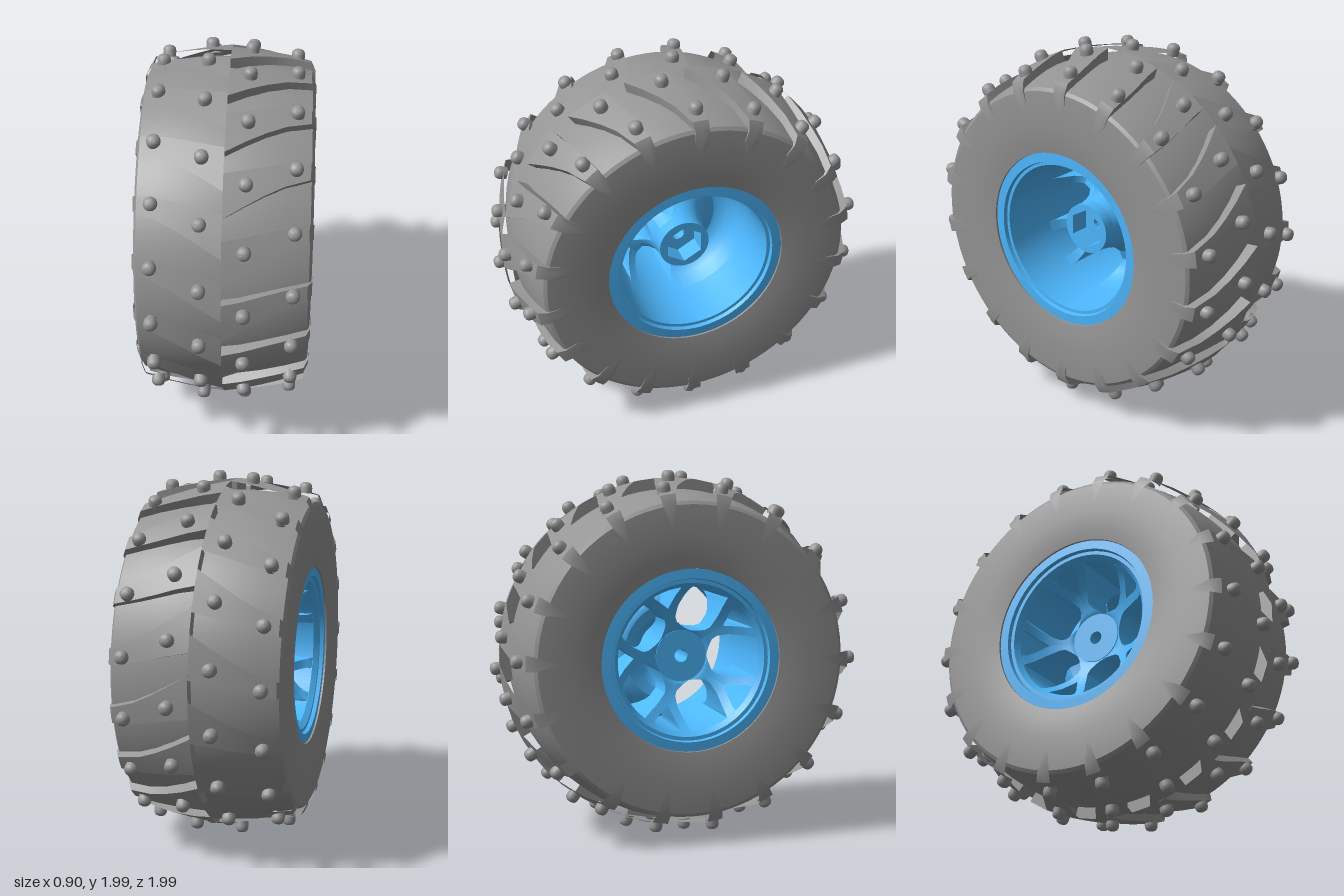
import * as THREE from 'three';
import { toCreasedNormals } from 'three/addons/utils/BufferGeometryUtils.js';

const RAD = Math.PI / 180;
const rubber = new THREE.MeshStandardMaterial({ color: 0x959595 });
const thinRubber = new THREE.MeshStandardMaterial({ color: 0x959595, side: THREE.DoubleSide });
const blue = new THREE.MeshStandardMaterial({ color: 0x4db8ff });
const thinBlue = new THREE.MeshStandardMaterial({ color: 0x4db8ff, side: THREE.DoubleSide });

// Point around the axle (x axis): angle 0 is +z, 90 degrees is +y
const polar = (x, r, deg) => new THREE.Vector3(x, r * Math.sin(deg * RAD), r * Math.cos(deg * RAD));

function mesh(name, geometry, material, parent) {
  const m = new THREE.Mesh(geometry, material);
  m.name = name;
  parent.add(m);
  return m;
}

// Revolves [radius, x] points around the axle
function revolve(points, segments = 96, start = 0, length = Math.PI * 2) {
  const g = new THREE.LatheGeometry(points.map(([r, x]) => new THREE.Vector2(r, x)), segments, start, length);
  return toCreasedNormals(g.rotateZ(-Math.PI / 2), 0.5);
}

// Joins cross-sections; closed loops also get end caps
function loft(sections, closed = true) {
  const pos = [];
  const n = sections[0].length;
  const tri = (...pts) => pts.forEach((p) => pos.push(p.x, p.y, p.z));
  for (let i = 0; i < sections.length - 1; i++) {
    for (let k = 0; k < (closed ? n : n - 1); k++) {
      const a = sections[i][k], b = sections[i][(k + 1) % n];
      const c = sections[i + 1][(k + 1) % n], d = sections[i + 1][k];
      tri(a, b, c);
      tri(a, c, d);
    }
  }
  if (closed) {
    const first = sections[0], last = sections[sections.length - 1];
    for (let k = 1; k < n - 1; k++) {
      tri(first[0], first[k + 1], first[k]);
      tri(last[0], last[k], last[k + 1]);
    }
  }
  const g = new THREE.BufferGeometry();
  g.setAttribute('position', new THREE.Float32BufferAttribute(pos, 3));
  g.computeVertexNormals();
  return toCreasedNormals(g, 0.5);
}

// Tread lug stations: x, top radius, base radius, lower and upper angle
const LUG = [
  [0.0, 0.957, 0.86, -5.5, 8],
  [0.1, 0.946, 0.86, -1.8, 9.2],
  [0.2, 0.93, 0.85, 1.8, 10.8],
  [0.3, 0.912, 0.83, 5.0, 12.2],
  [0.425, 0.88, 0.79, 7.8, 13.4],
  [0.448, 0.83, 0.76, 8.4, 13.4],
  [0.45, 0.71, 0.69, 10.6, 11.2],
];

function addTyre(group) {
  // Carcass with sharp shoulders and a straight bead at the rim
  const half = [[0.487, 0.34], [0.487, 0.43], [0.55, 0.44], [0.64, 0.446], [0.76, 0.446],
    [0.82, 0.442], [0.838, 0.43], [0.866, 0.32], [0.885, 0.2], [0.895, 0.08]];
  const outer = half.map(([r, x]) => [r, -x]);
  const profile = [...outer, ...half.slice().reverse(), outer[0]];
  mesh('tyreCarcass', revolve(profile), rubber, group);

  // Solid lugs on one half, thin raised tread strips on the other
  const solid = loft(LUG.map(([x, top, base, lo, hi]) =>
    [polar(x, base, hi), polar(x, top, hi), polar(x, top, (lo + hi) / 2), polar(x, top, lo), polar(x, base, lo)]));
  const strip = loft(LUG.map(([x, top, , lo, hi]) =>
    [0, 0.5, 1].map((t) => polar(-x, top, lo + (hi - lo) * t))), false);

  // Short studs with a rounded crown
  const stud = toCreasedNormals(new THREE.LatheGeometry(
    [[0.034, -0.01], [0.036, 0.02], [0.034, 0.036], [0.027, 0.047], [0.015, 0.053], [0, 0.055]]
      .map(([x, y]) => new THREE.Vector2(x, y)), 16), 0.9);

  for (let i = 0; i < 18; i++) {
    for (const side of [1, -1]) {
      const turn = i * 20 + (side < 0 ? 8 : 0);
      const lug = mesh(side > 0 ? 'treadLug' : 'treadStrip', side > 0 ? solid : strip,
        side > 0 ? rubber : thinRubber, group);
      lug.rotation.x = -turn * RAD;
      for (const [x, r, deg] of [[0.11, 0.943, 4.7], [0.353, 0.893, 10.6]]) {
        const s = mesh('treadStud', stud, rubber, group);
        s.position.copy(polar(side * x, r, turn + deg));
        s.rotation.x = (90 - turn - deg) * RAD;
      }
    }
  }
}

// Wheel web stations: radius, front x, back x, half angle of main window, half angle of small window
const WEB = [
  [0.13, 0.2, -0.2, 0, 0],
  [0.145, 0.14, -0.205, 0, 0],
  [0.152, 0.1, -0.21, 10, 0],
  [0.168, 0.045, -0.215, 19, 0],
  [0.19, 0.0, -0.22, 26, 0],
  [0.22, -0.035, -0.23, 28, 0],
  [0.275, -0.055, -0.255, 24.5, 0],
  [0.3, -0.05, -0.275, 22.5, 3.5],
  [0.34, -0.02, -0.305, 19.2, 8],
  [0.37, 0.025, -0.34, 17, 11],
  [0.385, 0.065, -0.365, 15.5, 11.5],
  [0.402, 0.13, -0.38, 15, 11.5],
];

function addRim(group) {
  // Barrel with a stepped flange at each end
  mesh('rimBarrel', revolve([
    [0.425, -0.33], [0.425, 0.33], [0.475, 0.36], [0.486, 0.375], [0.486, 0.42], [0.435, 0.422],
    [0.43, 0.4], [0.412, 0.4], [0.408, 0.3], [0.401, 0.14], [0.39, 0.07], [0.388, -0.37],
    [0.41, -0.4], [0.43, -0.4], [0.435, -0.422], [0.486, -0.42], [0.486, -0.375], [0.475, -0.36],
    [0.425, -0.33],
  ]), blue, group);

  // Five pairs of arms leave a main and a small window in each sector
  const arm = (lo, hi) => loft(WEB.map((s) => {
    const [r, front, back] = s;
    return [polar(front, r, lo(s)), polar(front, r, (lo(s) + hi(s)) / 2), polar(front, r, hi(s)),
      polar(back, r, hi(s)), polar(back, r, (lo(s) + hi(s)) / 2), polar(back, r, lo(s))];
  }));
  const arms = [
    arm((s) => s[3], (s) => 36 - s[4]),
    arm((s) => 36 + s[4], (s) => 72 - s[3]),
  ];
  for (let i = 0; i < 5; i++) {
    for (const g of arms) mesh('spokeArm', g, blue, group).rotation.x = -i * 72 * RAD;
  }

  // Smooth bowl skin closing the windows on the rear half
  mesh('bowlSkin', revolve(WEB.map(([r, front]) => [r, front + 0.003]), 48, 96 * RAD, 168 * RAD),
    thinBlue, group);

  // Hub with a hexagonal socket and an axle hole
  const disc = (hole) => {
    const shape = new THREE.Shape().absarc(0, 0, 0.14, 0, Math.PI * 2);
    shape.holes.push(hole);
    return shape;
  };
  const hex = [];
  for (let i = 0; i < 6; i++) {
    const a = (90 + i * 60) * RAD;
    hex.push(new THREE.Vector2(0.11 * Math.cos(a), 0.11 * Math.sin(a)));
  }
  const socket = disc(new THREE.Path(hex));
  const core = disc(new THREE.Path().absarc(0, 0, 0.036, 0, Math.PI * 2));
  for (const [name, shape, x, depth] of [['hubSocket', socket, 0.12, 0.11], ['hubCore', core, -0.21, 0.33]]) {
    const g = new THREE.ExtrudeGeometry(shape, { depth, bevelEnabled: false, curveSegments: 32 });
    g.rotateY(Math.PI / 2).translate(x, 0, 0);
    mesh(name, toCreasedNormals(g, 0.5), blue, group);
  }
}

export function createModel() {
  const model = new THREE.Group();
  model.name = 'offRoadWheel';
  const tyre = new THREE.Group();
  tyre.name = 'tyre';
  const rim = new THREE.Group();
  rim.name = 'rim';
  addTyre(tyre);
  addRim(rim);
  model.add(tyre, rim);
  tyre.position.y = rim.position.y = 1;
  return model;
}
